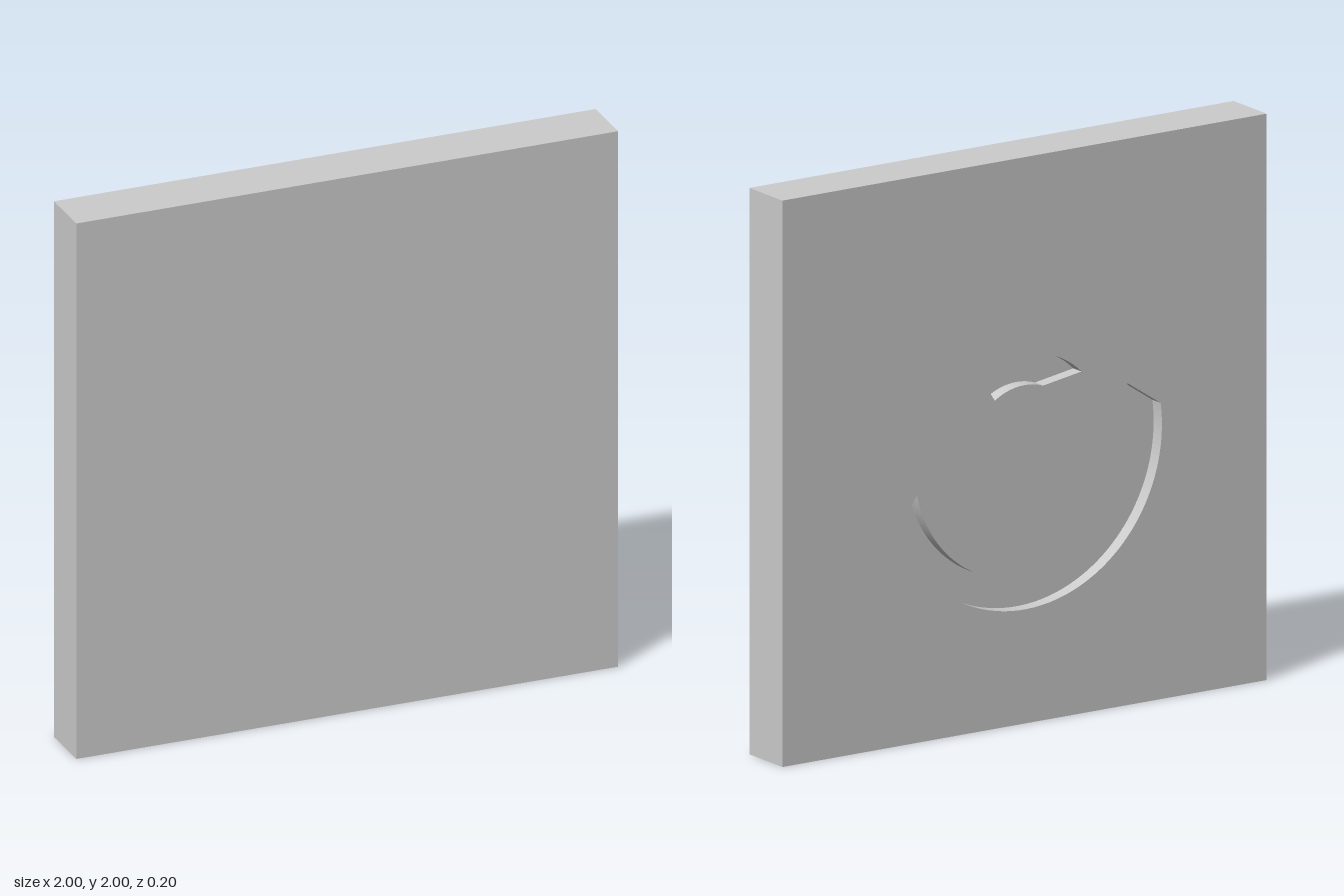
import * as THREE from 'three';

const SIZE = 2, THICK = 0.2, DEPTH = 0.05;   // plate and groove depth
const CY = 0.97;                             // height of the grooves' common centre
const rad = THREE.MathUtils.degToRad;

// Adds an arc about the common centre, joined by a straight line to the path so far
function arc(path, radius, from, to) {
  path.absarc(0, CY, radius, rad(from), rad(to), to < from);
}

export function createModel() {
  const group = new THREE.Group();
  const material = new THREE.MeshStandardMaterial({ color: 0xcccccc });
  const add = (name, geometry, z) => {
    const mesh = new THREE.Mesh(geometry, material);
    mesh.name = name;
    mesh.position.z = z;
    group.add(mesh);
  };

  // Solid front slab, whose back is the floor of the grooves
  const slab = new THREE.BoxGeometry(SIZE, SIZE, THICK - DEPTH);
  slab.translate(0, SIZE / 2, 0);
  add('frontSlab', slab, DEPTH / 2);

  // Square back layer
  const h = SIZE / 2;
  const face = new THREE.Shape([
    new THREE.Vector2(-h, 0), new THREE.Vector2(h, 0),
    new THREE.Vector2(h, SIZE), new THREE.Vector2(-h, SIZE),
  ]);

  // Large open ring groove with slanted ends
  const ring = new THREE.Path();
  arc(ring, 0.567, -22.3, -187.7);
  arc(ring, 0.455, -201.7, -12.4);
  ring.closePath();

  // Small pointed crescent groove inside the ring
  const crescent = new THREE.Path();
  crescent.moveTo(0.286, 1.064);
  arc(crescent, 0.334, 57, 134.8);
  arc(crescent, 0.225, 110, 57);
  crescent.closePath();

  face.holes.push(ring, crescent);
  add('groovedBack', new THREE.ExtrudeGeometry(face, {
    depth: DEPTH, bevelEnabled: false, curveSegments: 48,
  }), -THICK / 2);

  return group;
}
